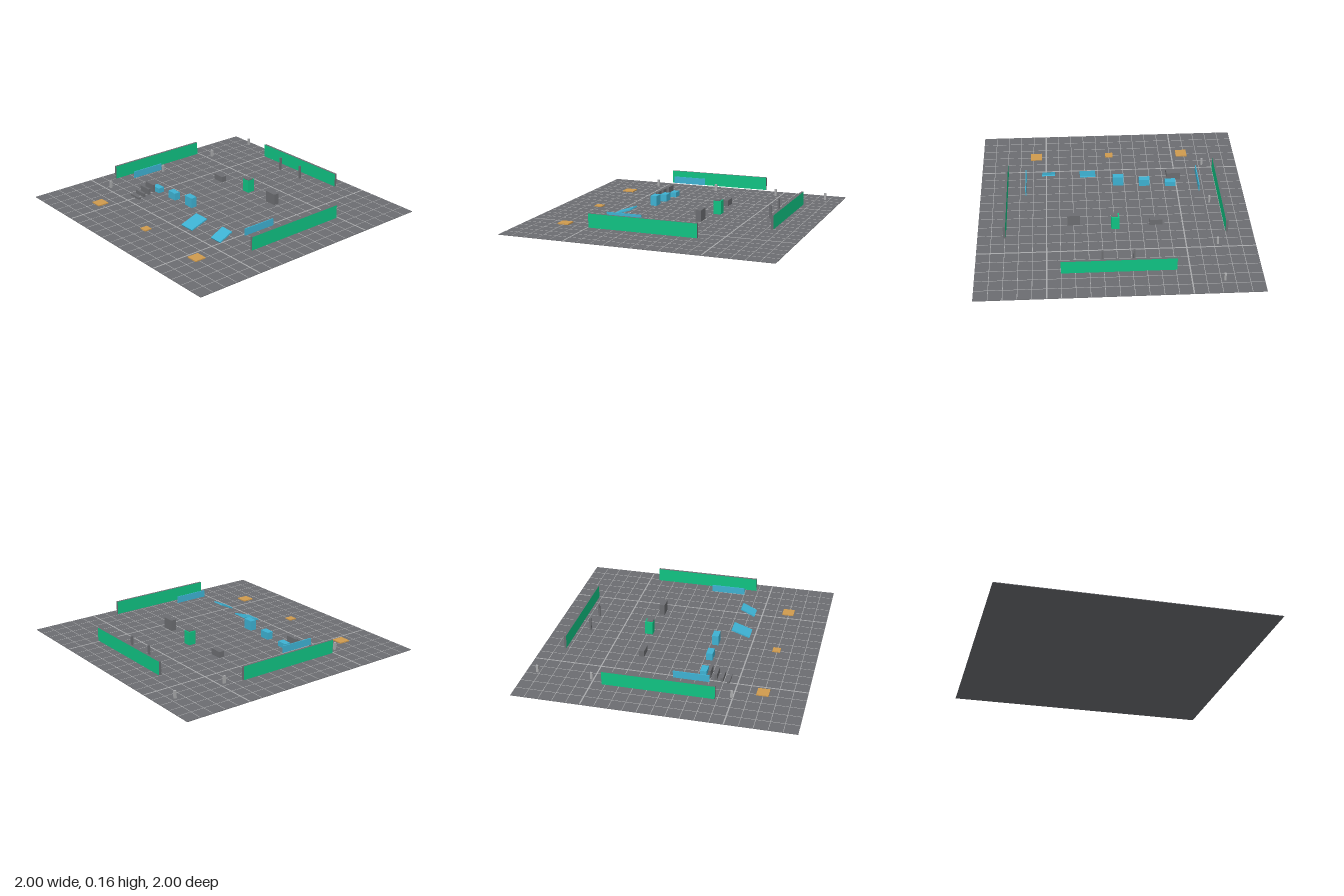
import * as THREE from 'three';

const mat = (name, color) => {
  const m = new THREE.MeshStandardMaterial({ color });
  m.name = name;
  return m;
};

export function createModel() {
  const group = new THREE.Group();
  const grey = mat('slate grey', 0x6c6d71);
  const line = mat('line grey', 0xa9aaac);
  const green = mat('green', 0x10c383);
  const blue = mat('sky blue', 0x3eb2d3);
  const orange = mat('amber', 0xd09b4e);

  const box = (name, material, w, h, d, x, y, z) => {
    const m = new THREE.Mesh(new THREE.BoxGeometry(w, h, d), material);
    m.name = name;
    m.position.set(x, y, z);
    group.add(m);
    return m;
  };
  // block hovering at a height that grows with its size
  const block = (name, material, w, h, d, x, z) => box(name, material, w, h, d, x, h + 0.01, z);

  // floor plate with fine and bold grid lines
  box('floor', grey, 2, 0.004, 2, 0, 0.002, 0);
  for (let i = -9; i <= 9; i++) {
    const w = i % 5 === 0 && i !== 0 ? 0.01 : 0.004;
    box('gridLineZ', line, w, 0.001, 2, i / 10, 0.0047, 0);
    box('gridLineX', line, 2, 0.001, w, 0, 0.0047, i / 10);
  }

  // perimeter walls: green broad faces, grey ends and tops
  const sideFaces = [green, green, grey, grey, grey, grey];
  const backFaces = [grey, grey, grey, grey, green, green];
  block('backWall', backFaces, 0.8, 0.1, 0.018, 0, -0.8);
  for (const s of [-1, 1]) {
    block('sideWall', sideFaces, 0.018, 0.1, 0.8, s * 0.797, 0);
    box('sideRail', blue, 0.007, 0.052, 0.26, s * 0.65, 0.117, 0.2);
    block('gatePost', grey, 0.014, 0.1, 0.014, s * 0.11, -0.7);
  }

  // marker posts along the right edge
  for (const z of [-0.9, -0.5, 0, 0.5]) box('markerPost', line, 0.014, 0.054, 0.018, -0.72, 0.062, z);

  // cover blocks
  block('lowCover', grey, 0.092, 0.045, 0.04, -0.3, -0.24);
  block('tallCover', grey, 0.092, 0.083, 0.04, 0.3, -0.24);

  // central block with offset cap
  box('centreBlock', green, 0.058, 0.1, 0.058, 0, 0.086, -0.27);
  box('centreCap', grey, 0.047, 0.006, 0.047, 0.005, 0.139, -0.265);

  // rising row of platforms
  [0.038, 0.055, 0.075].forEach((h, i) => block('platform', blue, 0.08, h, 0.048, -0.45 + i * 0.2, 0.25));

  // stairs, lowest step in front
  for (let i = 0; i < 4; i++) block('step', grey, 0.1, 0.015 * (i + 1), 0.018, -0.48, 0.438 - i * 0.045);

  // ramps rising to the back
  box('wideRamp', blue, 0.12, 0.01, 0.146, 0.18, 0.042, 0.4).rotation.x = 0.33;
  box('narrowRamp', blue, 0.1, 0.01, 0.118, 0.48, 0.053, 0.397).rotation.x = 0.44;

  // floor pads
  for (const [x, s] of [[-0.578, 0.086], [0, 0.058], [0.578, 0.086]]) {
    box('pad', orange, s, 0.008, s, x, 0.014, 0.695);
  }
  return group;
}
